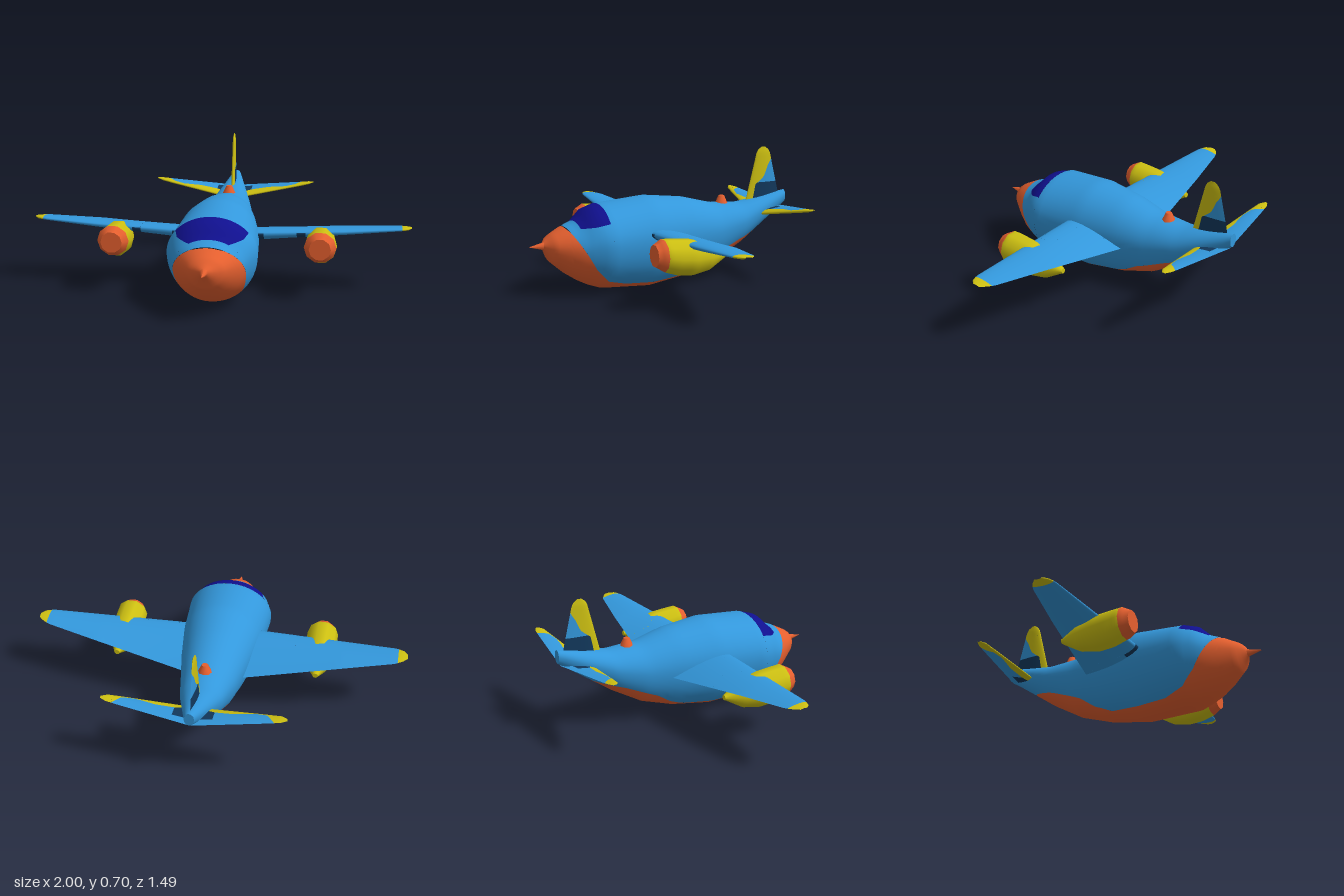
import * as THREE from 'three';

const paint = (name, color) => {
  const m = new THREE.MeshStandardMaterial({ color });
  m.name = name;
  return m;
};

// Linear interpolation in rows of [key, value, value...], ascending keys
function lerpRows(rows, k) {
  const n = rows.length;
  if (k <= rows[0][0]) return rows[0].slice(1);
  if (k >= rows[n - 1][0]) return rows[n - 1].slice(1);
  let i = 0;
  while (k > rows[i + 1][0]) i++;
  const a = rows[i], b = rows[i + 1], f = (k - a[0]) / (b[0] - a[0]);
  return a.slice(1).map((v, j) => v + (b[j + 1] - v) * f);
}

// Grid over surface f(s, t) between s0..s1 and t0(s)..t1(s), with smooth normals
function patch(f, s0, s1, t0, t1, material, name, { flip = false, es = 0.03, et = 0.1, ns = 24, nt = 12 } = {}) {
  const pos = [], nor = [], idx = [];
  const at = (t, s) => (typeof t === 'function' ? t(s) : t);
  for (let i = 0; i <= ns; i++) {
    const s = s0 + ((s1 - s0) * i) / ns, a = at(t0, s), b = at(t1, s);
    for (let j = 0; j <= nt; j++) {
      const t = a + ((b - a) * j) / nt;
      const ds = f(s + es, t).sub(f(s - es, t)), dt = f(s, t + et).sub(f(s, t - et));
      pos.push(...f(s, t).toArray());
      nor.push(...ds.cross(dt).normalize().multiplyScalar(flip ? -1 : 1).toArray());
      if (i < ns && j < nt) {
        const p = i * (nt + 1) + j, q = p + nt + 1;
        if (flip) idx.push(p, p + 1, q, q, p + 1, q + 1);
        else idx.push(p, q, p + 1, q, q + 1, p + 1);
      }
    }
  }
  const g = new THREE.BufferGeometry();
  g.setAttribute('position', new THREE.Float32BufferAttribute(pos, 3));
  g.setAttribute('normal', new THREE.Float32BufferAttribute(nor, 3));
  g.setIndex(idx);
  const mesh = new THREE.Mesh(g, material);
  mesh.name = name;
  return mesh;
}

// Teardrop section: u = chord fraction, h = thickness factor, t = -1..1 around the leading edge
const foil = (t) => {
  const a = (Math.PI / 2) * THREE.MathUtils.clamp(t, -1, 1);
  return [Math.sin(a) ** 2, 2.6 * Math.sin(a) * Math.cos(a) ** 2];
};
const chordT = (c) => (2 / Math.PI) * Math.asin(Math.sqrt(THREE.MathUtils.clamp(c, 0, 1)));

// One spanwise band of a wing, split around the section into colours
function band(group, f, s0, s1, breaks, mats, name, opts) {
  mats.forEach((m, i) => group.add(patch(f, s0, s1, breaks[i], breaks[i + 1], m, name, opts)));
}

export function createModel() {
  const blue = paint('skyBlue', 0x3398dc), orange = paint('orange', 0xe6602f), yellow = paint('yellow', 0xcdc012);
  const navy = paint('windowNavy', 0x10108f), dark = paint('darkBlue', 0x12385c);
  const model = new THREE.Group();
  const part = (name) => {
    const g = new THREE.Group();
    g.name = name;
    model.add(g);
    return g;
  };

  // Fuselage stations: z, bottom, top, half width
  const hull = [
    [-0.745, 0.388, 0.459, 0.025], [-0.6, 0.288, 0.433, 0.068], [-0.455, 0.187, 0.41, 0.11],
    [-0.29, 0.092, 0.419, 0.143], [-0.115, 0.036, 0.463, 0.177], [0.1, 0.002, 0.486, 0.212],
    [0.37, 0.018, 0.461, 0.231], [0.435, 0.04, 0.44, 0.208], [0.495, 0.07, 0.381, 0.178],
    [0.565, 0.116, 0.354, 0.134], [0.645, 0.185, 0.312, 0.075], [0.67, 0.24, 0.282, 0.022], [0.674, 0.261, 0.265, 0.002],
  ];
  const middle = (b, t) => b + (t - b) * 0.57;
  const hullAt = (side) => (z, t) => {
    const [b, top, w] = lerpRows(hull, z), c = middle(b, top), k = Math.cos(t);
    return new THREE.Vector3(side * w * Math.sin(t), c - k * (k > 0 ? c - b : top - c), z);
  };
  const angleAtHeight = (z, y) => {
    const [b, top] = lerpRows(hull, z), c = middle(b, top);
    return Math.acos(THREE.MathUtils.clamp(y < c ? (c - y) / (c - b) : (c - y) / (top - c), -1, 1));
  };
  // Height of the belly paint line and of the windscreen sill along z
  const paintLine = [
    [-0.58, 0.27], [-0.415, 0.22], [-0.235, 0.145], [-0.155, 0.09], [-0.06, 0.052], [0.1, 0.04],
    [0.26, 0.05], [0.37, 0.08], [0.44, 0.15], [0.5, 0.25], [0.545, 0.33], [0.575, 0.4],
  ];
  const belly = (z) => angleAtHeight(z, lerpRows(paintLine, z)[0]);
  const sill = (z) => angleAtHeight(z, lerpRows([[0.37, 0.385], [0.5, 0.355]], z)[0]);
  const fuselage = part('fuselage');
  for (const side of [1, -1]) {
    const f = hullAt(side), o = { flip: side > 0, es: 0.035, et: 0.2, ns: 60, nt: 14 };
    fuselage.add(
      patch(f, -0.58, 0.674, 0, belly, orange, 'bellyAndNose', { ...o, ns: 100 }),
      patch(f, -0.745, 0.37, belly, Math.PI, blue, 'upperHull', o),
      patch(f, 0.37, 0.5, belly, sill, blue, 'cockpitSide', o),
      patch(f, 0.37, 0.5, sill, Math.PI, navy, 'windscreen', o),
      patch(f, 0.5, 0.575, belly, Math.PI, blue, 'noseDeck', o));
  }
  const add = (geo, mat, name, x, y, z) => {
    const m = new THREE.Mesh(geo, mat);
    m.name = name;
    m.position.set(x, y, z);
    fuselage.add(m);
  };
  add(new THREE.CircleGeometry(1, 20).scale(0.025, 0.036, 1).rotateY(Math.PI), blue, 'tailCap', 0, 0.424, -0.745);
  add(new THREE.ConeGeometry(0.021, 0.08, 8).rotateX(Math.PI / 2), orange, 'noseSpike', 0, 0.263, 0.705);
  add(new THREE.CylinderGeometry(0.016, 0.036, 0.044, 8), orange, 'dorsalDome', 0, 0.431, -0.355);

  // Wing sections: x, leading z, trailing z, leading y, trailing y, half thickness
  const wingRows = [
    [0.1, 0.165, -0.183, 0.312, 0.24, 0.036], [0.65, 0.125, -0.09, 0.332, 0.315, 0.019],
    [0.94, 0.097, -0.025, 0.348, 0.342, 0.01], [0.98, 0.08, 0, 0.349, 0.346, 0.008], [1, 0.055, 0.02, 0.349, 0.348, 0.003],
  ];
  const tailRows = [
    [0, -0.55, -0.728, 0.333, 0.372, 0.014], [0.37, -0.615, -0.685, 0.402, 0.41, 0.009],
    [0.43, -0.627, -0.677, 0.414, 0.417, 0.007], [0.46, -0.647, -0.663, 0.419, 0.42, 0.002],
  ];
  const wingAt = (rows, side) => (s, t) => {
    const [zl, zt, yl, yt, h] = lerpRows(rows, s), [u, k] = foil(t);
    return new THREE.Vector3(side * s, yl + (yt - yl) * u + h * k, zl + (zt - zl) * u);
  };
  const tailTrim = (s) => chordT(lerpRows([[0, 0.1], [0.1, 0.3], [0.2, 0.33], [0.3, 0.12], [0.36, 0.2], [0.4, 1]], s)[0]);

  // Engine pod stations: z, bottom, top, half width
  const podRows = [
    [-0.1, 0.25, 0.272, 0.015], [0, 0.19, 0.328, 0.058], [0.1, 0.172, 0.354, 0.081],
    [0.18, 0.18, 0.361, 0.084], [0.245, 0.202, 0.365, 0.083], [0.29, 0.23, 0.34, 0.056],
  ];

  for (const side of [1, -1]) {
    const tag = side > 0 ? 'left' : 'right', o = { flip: side < 0, es: 0.02, et: 0.08 };

    const wing = part(tag + 'Wing'), f = wingAt(wingRows, side);
    for (const [a, b] of [[0.1, 0.19], [0.24, 0.41], [0.455, 0.95]]) band(wing, f, a, b, [-1, 0, 1], [blue, blue], 'wingPanel', o);
    for (const [a, b] of [[0.19, 0.24], [0.41, 0.455]]) {
      band(wing, f, a, b, [-1, -0.3, 0.05, 1], [blue, dark, blue], 'wingIntake', { ...o, ns: 4 });
    }
    band(wing, f, 0.95, 1, [-1, 0, 1], [yellow, yellow], 'wingTip', o);

    const tail = part(tag + 'Tailplane'), g = wingAt(tailRows, side);
    const neg = (s) => -tailTrim(s);
    band(tail, g, 0, 0.1, [-1, -0.65, neg, tailTrim, 0.65, 1], [blue, dark, yellow, dark, blue], 'tailplaneRoot', o);
    band(tail, g, 0.1, 0.4, [-1, neg, tailTrim, 1], [blue, yellow, blue], 'tailplanePanel', o);
    band(tail, g, 0.4, 0.46, [-1, 0, 1], [yellow, yellow], 'tailplaneTip', o);

    // Engine pod under the wing, with its orange front
    const pod = part(tag + 'Engine');
    const p = (z, t) => {
      const [b, top, w] = lerpRows(podRows, z);
      return new THREE.Vector3(side * 0.535 + w * Math.cos(t), (b + top) / 2 + ((top - b) / 2) * Math.sin(t), z);
    };
    const po = { flip: true, es: 0.02, et: 0.3, ns: 23, nt: 8 };
    pod.add(patch(p, -0.1, 0.245, 0, Math.PI * 2, yellow, 'enginePod', { ...po, nt: 10 }),
      patch(p, 0.245, 0.29, 0, Math.PI * 2, orange, 'engineRim', { ...po, nt: 10 }));
    const face = new THREE.Mesh(new THREE.CircleGeometry(0.056, 10), orange);
    face.name = 'engineFace';
    face.position.set(side * 0.535, 0.285, 0.29);
    const back = new THREE.Mesh(new THREE.CircleGeometry(0.014, 10).rotateY(Math.PI), yellow);
    back.name = 'engineTail';
    back.position.set(side * 0.535, 0.261, -0.1);
    pod.add(face, back);
  }

  // Fin sections: y, leading z, trailing z, half thickness
  const finRows = [[0.4, -0.503, -0.722, 0.012], [0.67, -0.57, -0.656, 0.008], [0.69, -0.581, -0.645, 0.006], [0.706, -0.603, -0.623, 0.002]];
  const finAt = (y, t) => {
    const [zl, zt, h] = lerpRows(finRows, y), [u, k] = foil(t);
    return new THREE.Vector3(-h * k, y, zl + (zt - zl) * u);
  };
  const trim = (y) => chordT(lerpRows([[0.42, 0.18], [0.5, 0.2], [0.54, 0.5], [0.6, 0.72], [0.64, 1]], y)[0]);
  const trimNeg = (y) => -trim(y), fin = part('fin');
  const fo = { es: 0.02, et: 0.08 };
  band(fin, finAt, 0.4, 0.51, [-1, trimNeg, trim, 1], [dark, yellow, dark], 'finRoot', fo);
  band(fin, finAt, 0.51, 0.64, [-1, trimNeg, trim, 1], [blue, yellow, blue], 'finPanel', fo);
  band(fin, finAt, 0.64, 0.706, [-1, 0, 1], [yellow, yellow], 'finTip', fo);

  return model;
}
